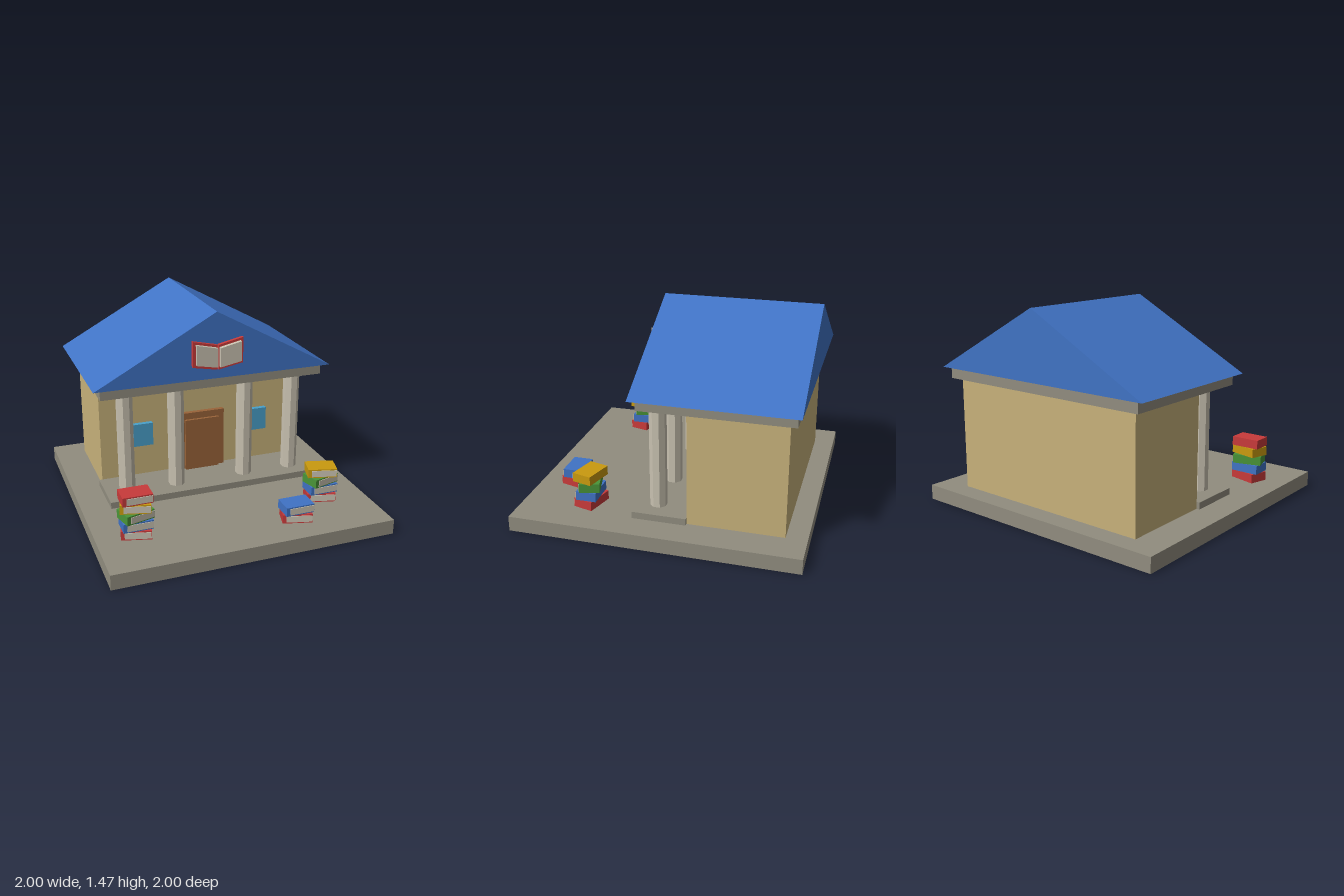
import * as THREE from 'three';

const mat = (name, color, side = THREE.FrontSide) => {
  const m = new THREE.MeshStandardMaterial({ color, side });
  m.name = name;
  return m;
};

export function createModel() {
  const stone = mat('stone', 0x918d7f, THREE.DoubleSide);
  const tan = mat('wall tan', 0xc8b27b);
  const cream = mat('cream', 0xc9c2b1);
  const blue = mat('blue', 0x4073c5);
  const brown = mat('door brown', 0x9a6439);
  const glass = mat('window blue', 0x4aa1cb);
  const red = mat('red', 0xc83a3a);
  const green = mat('green', 0x4a9438);
  const yellow = mat('yellow', 0xc99a0f);

  const model = new THREE.Group();
  model.name = 'library';

  const add = (name, geo, material, parent = model) => {
    const mesh = new THREE.Mesh(geo, material);
    mesh.name = name;
    parent.add(mesh);
    return mesh;
  };
  // box given by its limits on each axis
  const box = (name, material, [x0, x1], [y0, y1], [z0, z1], parent) => {
    const geo = new THREE.BoxGeometry(x1 - x0, y1 - y0, z1 - z0);
    geo.translate((x0 + x1) / 2, (y0 + y1) / 2, (z0 + z1) / 2);
    return add(name, geo, material, parent);
  };
  // flat outline in x and y, extruded from z0 to z1
  const prism = (name, material, points, z0, z1, parent) => {
    const shape = new THREE.Shape(points.map(([x, y]) => new THREE.Vector2(x, y)));
    const geo = new THREE.ExtrudeGeometry(shape, { depth: z1 - z0, bevelEnabled: false });
    geo.translate(0, 0, z0);
    return add(name, geo, material, parent);
  };

  // ground slab, hollow underneath: drop the bottom face
  const slab = box('groundSlab', stone, [-1, 1], [0, 0.107], [-1, 1]);
  const index = Array.from(slab.geometry.index.array);
  index.splice(18, 6);
  slab.geometry.setIndex(index);
  slab.geometry.clearGroups();

  // building
  box('walls', tan, [-0.773, 0.773], [0.107, 0.91], [-0.855, -0.19]);
  box('porchStep', stone, [-0.797, 0.797], [0.107, 0.155], [-0.19, 0.187]);
  box('entablature', stone, [-0.827, 0.827], [0.91, 0.99], [-0.905, 0.135]);
  prism('roof', blue, [[-0.88, 0.988], [0.88, 0.988], [0, 1.467]], -0.935, 0.175);

  // octagonal columns with a flat side to the front
  for (const x of [-0.64, -0.265, 0.265, 0.64]) {
    const geo = new THREE.CylinderGeometry(0.0595, 0.0595, 0.755, 8).toNonIndexed();
    geo.rotateY(Math.PI / 8);
    geo.computeVertexNormals();
    add('column', geo, cream).position.set(x, 0.5325, 0.042);
  }

  // door and windows
  box('doorFrame', brown, [-0.18, 0.18], [0.155, 0.61], [-0.19, -0.155]);
  box('doorPanel', brown, [-0.133, 0.133], [0.155, 0.56], [-0.155, -0.134]);
  for (const s of [-1, 1]) {
    const x = s * 0.455;
    box('window', glass, [x - 0.074, x + 0.074], [0.398, 0.573], [-0.19, -0.155]);
  }

  // open book on the gable, mirrored left and right
  const sign = new THREE.Group();
  sign.name = 'openBook';
  model.add(sign);
  for (const s of [-1, 1]) {
    const side = (pts) => pts.map(([x, y]) => [s * x, y]);
    prism('bookCover', red,
      side([[0.005, 1.06], [0.185, 1.093], [0.185, 1.278], [0.005, 1.238]]), 0.17, 0.201, sign);
    prism('bookPages', cream,
      side([[0.009, 1.084], [0.164, 1.113], [0.164, 1.257], [0.009, 1.222]]), 0.201, 0.23, sign);
  }

  // stacked books: cover block with pages showing at the front
  const H = 0.0644, turn = THREE.MathUtils.degToRad(15);
  const stack = (name, x, z, books) => {
    const group = new THREE.Group();
    group.name = name;
    group.position.set(x, 0.107, z);
    books.forEach(([material, t], i) => {
      const book = new THREE.Group();
      book.name = 'book';
      book.position.y = i * H;
      book.rotation.y = t * turn;
      box('cover', material, [-0.103, 0.103], [0, H], [-0.0715, 0.0715], book);
      box('pages', cream, [-0.077, 0.1], [0.009, H - 0.009], [0.03, 0.0765], book);
      group.add(book);
    });
    model.add(group);
  };
  stack('bookStackRight', -0.72, 0.583,
    [[red, -1], [blue, 0], [green, 1], [yellow, -1], [red, 0]]);
  stack('bookStackLeft', 0.665, 0.527, [[red, -1], [blue, 0], [green, 1], [yellow, -1]]);
  stack('bookStackFront', 0.374, 0.743, [[red, -1], [blue, 0]]);

  return model;
}
